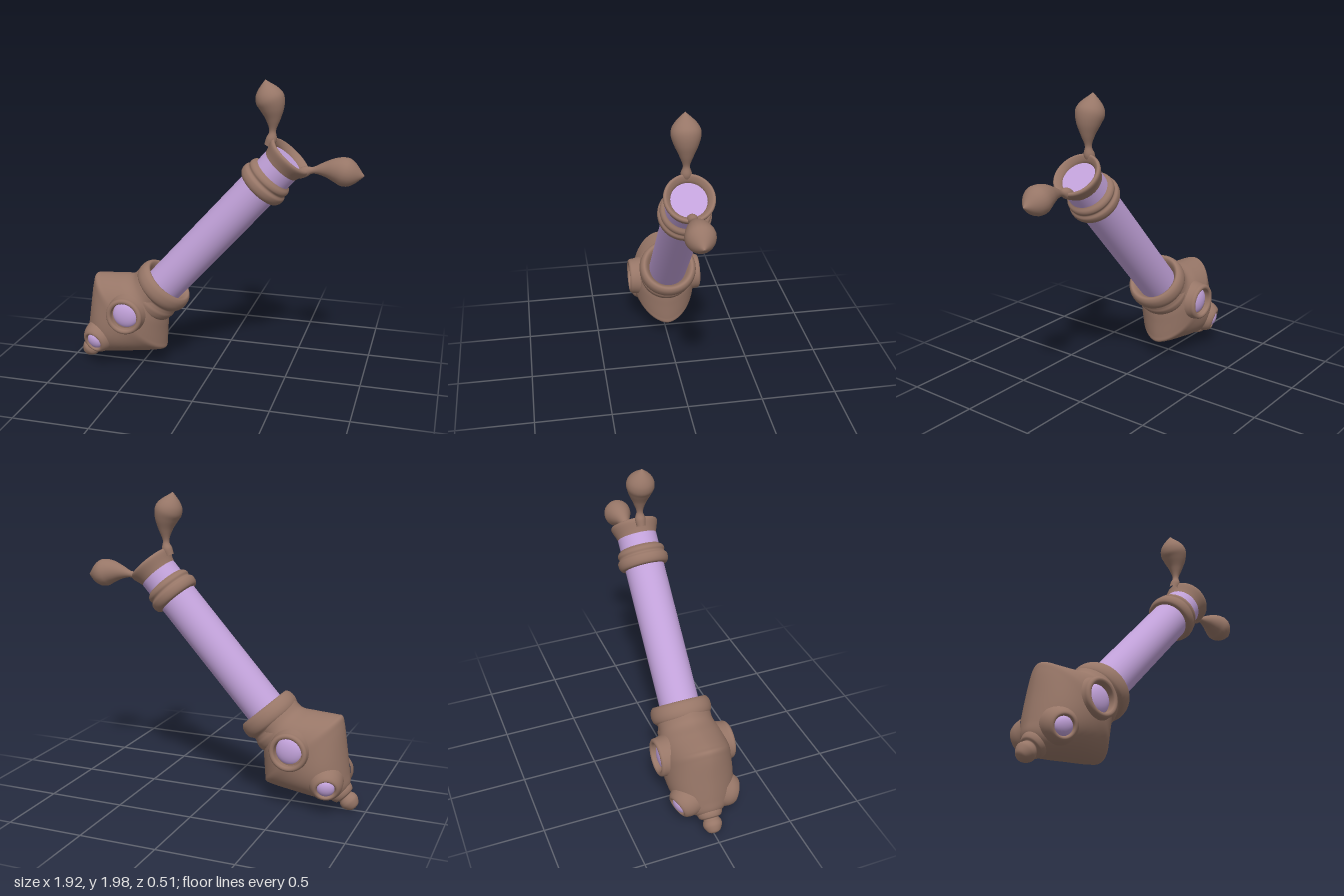
import * as THREE from 'three';
import { mergeVertices } from 'three/addons/utils/BufferGeometryUtils.js';

const brown = new THREE.MeshStandardMaterial({ color: 0x977667 });
brown.name = 'warm brown';
const lilac = new THREE.MeshStandardMaterial({ color: 0xc2a2da });
lilac.name = 'lilac';

function part(parent, name, geometry, material, x = 0, y = 0, z = 0) {
  const mesh = new THREE.Mesh(geometry, material);
  mesh.name = name;
  mesh.position.set(x, y, z);
  parent.add(mesh);
  return mesh;
}

function frame(parent, name, x, y, angle) {
  const g = new THREE.Group();
  g.name = name;
  g.position.set(x, y, 0);
  g.rotation.z = THREE.MathUtils.degToRad(angle - 90);
  parent.add(g);
  return g;
}

// Smooth turned shape from [radius, height] pairs, bottom to top
function turned(pairs, steps = 60, sides = 48) {
  const curve = new THREE.SplineCurve(pairs.map(([r, h]) => new THREE.Vector2(r, h)));
  return new THREE.LatheGeometry(curve.getPoints(steps), sides);
}

// Welds seams and rebuilds smooth normals
function smooth(geometry) {
  geometry.deleteAttribute('uv');
  geometry.deleteAttribute('normal');
  const g = mergeVertices(geometry, 1e-5);
  g.computeVertexNormals();
  return g;
}

// Lens-shaped body from [half width, height, half depth] stations
function lensBody(stations) {
  const rows = new THREE.CatmullRomCurve3(
    stations.map((s) => new THREE.Vector3(...s)), false, 'centripetal').getPoints(60);
  const g = new THREE.LatheGeometry(rows.map((r) => new THREE.Vector2(r.x, r.y)), 64);
  const p = g.attributes.position;
  for (let i = 0; i < p.count; i++) {
    const row = rows[i % rows.length];
    const c = row.x > 1e-6 ? p.getZ(i) / row.x : 0;
    p.setZ(i, Math.sign(c) * Math.pow(Math.abs(c), 1.15) * row.z);
  }
  return smooth(g);
}

// Round sweep along [x, y, radius] stations
function taperedSweep(stations, segments = 40, sides = 24) {
  const path = new THREE.CatmullRomCurve3(
    stations.map(([x, y]) => new THREE.Vector3(x, y, 0)), false, 'centripetal');
  const radii = new THREE.CatmullRomCurve3(
    stations.map(([x, y, r]) => new THREE.Vector3(x, y, r)), false, 'centripetal');
  const g = new THREE.TubeGeometry(path, segments, 1, sides);
  const p = g.attributes.position;
  const v = new THREE.Vector3();
  for (let i = 0; i < p.count; i++) {
    const t = Math.floor(i / (sides + 1)) / segments;
    const centre = path.getPointAt(t);
    const r = Math.max(radii.getPointAt(t).z, 0.0005);
    v.fromBufferAttribute(p, i).sub(centre).multiplyScalar(r).add(centre);
    p.setXYZ(i, v.x, v.y, v.z);
  }
  return smooth(g);
}

export function createModel() {
  const model = new THREE.Group();
  model.name = 'hilt';

  // Shaft with its two collars
  const shaft = frame(model, 'shaft', -0.335, 0.59, 48);
  part(shaft, 'grip', new THREE.CylinderGeometry(0.13, 0.13, 1.31, 48), lilac, 0, 0.56);
  part(shaft, 'lowerCollar', turned([
    [0.1, -0.22], [0.17, -0.18], [0.183, -0.13], [0.175, -0.1], [0.172, -0.078],
    [0.192, -0.055], [0.2, -0.02], [0.193, 0.02], [0.172, 0.042], [0.15, 0.028], [0.125, -0.02],
  ]), brown);
  part(shaft, 'upperCollar', turned([
    [0.12, 0.95], [0.15, 0.955], [0.165, 0.978], [0.166, 1.01], [0.152, 1.03],
    [0.157, 1.05], [0.15, 1.07], [0.126, 1.092], [0.123, 1.13], [0.135, 1.18],
    [0.155, 1.235], [0.15, 1.255], [0.135, 1.253], [0.112, 1.222], [0.11, 1.18],
  ], 80), brown);

  // Drop-shaped prongs on the rim
  for (const s of [-1, 1]) {
    part(shaft, s < 0 ? 'innerProng' : 'outerProng', taperedSweep([
      [s * 0.13, 1.2, 0.03], [s * 0.15, 1.25, 0.034], [s * 0.183, 1.293, 0.021],
      [s * 0.235, 1.352, 0.045], [s * 0.29, 1.398, 0.075], [s * 0.348, 1.432, 0.091],
      [s * 0.388, 1.458, 0.08], [s * 0.413, 1.476, 0.052], [s * 0.425, 1.486, 0],
    ]), brown, -0.013);
  }

  // Head with pointed side corners
  const head = frame(model, 'head', -0.58, 0.375, 45);
  part(head, 'skull', lensBody([
    [0.001, -0.38, 0.001], [0.08, -0.36, 0.09], [0.13, -0.3, 0.155], [0.222, -0.18, 0.205],
    [0.325, -0.045, 0.218], [0.348, 0, 0.22], [0.325, 0.03, 0.22], [0.235, 0.13, 0.208],
    [0.172, 0.21, 0.18], [0.172, 0.28, 0.178],
  ]), brown);
  part(head, 'snout', turned([
    [0.001, -0.498], [0.035, -0.488], [0.059, -0.452], [0.06, -0.425], [0.05, -0.402],
    [0.07, -0.392], [0.082, -0.365], [0.08, -0.335], [0.05, -0.3],
  ]), brown);

  for (const s of [-1, 1]) {
    // Large side eye
    const eye = new THREE.Group();
    eye.name = s > 0 ? 'frontEye' : 'backEye';
    eye.position.set(-0.01, 0.053, 0);
    eye.rotation.x = s * Math.PI / 2;
    head.add(eye);
    part(eye, 'eyeRing', turned([
      [0.15, 0.13], [0.135, 0.18], [0.126, 0.22], [0.123, 0.243], [0.113, 0.254],
      [0.1, 0.254], [0.091, 0.243], [0.089, 0.2],
    ]), brown);
    part(eye, 'eyeDome', new THREE.SphereGeometry(0.09, 32, 16), lilac, 0, 0.2).scale.y = 0.45;

    // Small lower eye in a rounded cheek
    const cheek = new THREE.Group();
    cheek.name = s > 0 ? 'frontCheek' : 'backCheek';
    cheek.position.set(-0.02, -0.25, s * 0.14);
    cheek.rotation.x = s * (Math.PI / 2 + 0.42);
    head.add(cheek);
    part(cheek, 'cheekRing', turned([
      [0.115, -0.03], [0.105, 0.02], [0.09, 0.052], [0.075, 0.067], [0.062, 0.066],
      [0.055, 0.05], [0.054, 0.03],
    ]), brown);
    part(cheek, 'cheekDome', new THREE.SphereGeometry(0.057, 32, 16), lilac, 0, 0.045).scale.y = 0.6;
  }
  return model;
}
